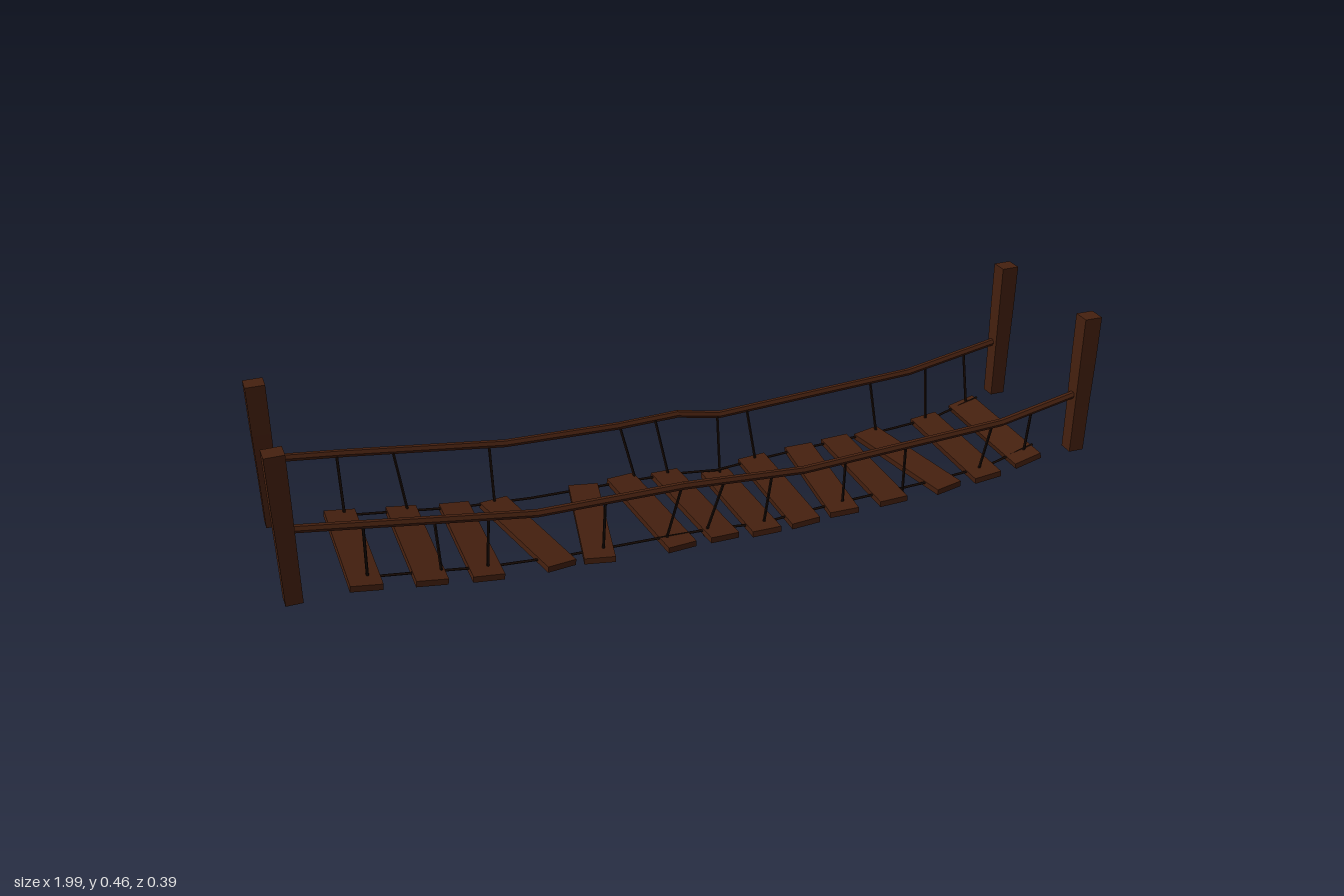
import * as THREE from 'three';

const wood = new THREE.MeshStandardMaterial({ color: 0x45200f, flatShading: true });
const cord = new THREE.MeshStandardMaterial({ color: 0x1c0e07, flatShading: true });
const UP = new THREE.Vector3(0, 1, 0);
const v = (x, y, z) => new THREE.Vector3(x, y, z);

// height along a polyline of [x, y, ...] points
function heightAt(line, x) {
  let i = 1;
  while (i < line.length - 1 && line[i][0] < x) i++;
  const [a, b] = [line[i - 1], line[i]];
  return a[1] + (b[1] - a[1]) * (x - a[0]) / (b[0] - a[0]);
}

// straight pole between two points
function pole(name, a, b, radius, sides, material) {
  const dir = b.clone().sub(a);
  const mesh = new THREE.Mesh(new THREE.CylinderGeometry(radius, radius, dir.length(), sides), material);
  mesh.position.copy(a).add(b).multiplyScalar(0.5);
  mesh.quaternion.setFromUnitVectors(UP, dir.normalize());
  mesh.name = name;
  return mesh;
}

// jointed run of poles through a list of points
function run(name, points, radius, sides, material) {
  const group = new THREE.Group();
  group.name = name;
  for (let i = 1; i < points.length; i++) {
    const d = points[i].clone().sub(points[i - 1]).setLength(radius * 0.15);
    group.add(pole(name + 'Section', points[i - 1].clone().sub(d), points[i].clone().add(d), radius, sides, material));
  }
  return group;
}

// square post, narrowing to the foot
function post(name, x, z, twist) {
  const geo = new THREE.BoxGeometry(0.045, 0.364, 0.042, 1, 3, 1);
  const p = geo.attributes.position;
  for (let i = 0; i < p.count; i++) {
    const t = (p.getY(i) + 0.182) / 0.364;
    const s = t < 0.5 ? 0.86 + 0.1 * t : 0.9 + 0.1 * t;
    p.setX(i, p.getX(i) * s);
    p.setZ(i, p.getZ(i) * s);
  }
  geo.computeVertexNormals();
  const mesh = new THREE.Mesh(geo, wood);
  mesh.position.set(x, 0.276, z);
  mesh.rotation.y = twist;
  mesh.name = name;
  return mesh;
}

export function createModel() {
  const model = new THREE.Group();
  model.name = 'ropeBridge';

  // corner posts
  model.add(post('frontRightPost', -0.977, 0.165, 0.02), post('frontLeftPost', 0.968, 0.173, -0.02),
    post('backRightPost', -0.971, -0.174, 0), post('backLeftPost', 0.946, -0.176, 0.02));

  // sagging line of the walkway
  const deck = [[-0.87, 0.1], [-0.68, 0.073], [-0.54, 0.054], [-0.36, 0.042], [-0.1, 0.038], [0.02, 0.034],
    [0.13, 0.022], [0.24, 0.03], [0.36, 0.037], [0.6, 0.045], [0.75, 0.056], [0.9, 0.094]];

  // planks: x, sideways skew across the width, tilt
  const planks = [[-0.82, 0, 0], [-0.676, 0, 0], [-0.548, 0, 0], [-0.414, 0.075, 0], [-0.254, -0.065, 0],
    [-0.104, 0.04, 0.035], [0.008, 0.03, 0], [0.131, 0, -0.058], [0.233, 0, 0], [0.35, -0.03, 0],
    [0.468, 0, 0], [0.59, 0.065, 0], [0.73, 0, 0], [0.842, 0, 0]];
  const deckGroup = new THREE.Group();
  deckGroup.name = 'planks';
  planks.forEach(([x, skew, tilt]) => {
    const mesh = new THREE.Mesh(new THREE.BoxGeometry(0.073, 0.015, 0.342), wood);
    const slope = (heightAt(deck, x + 0.03) - heightAt(deck, x - 0.03)) / 0.06;
    const low = tilt < 0;
    mesh.position.set(x, low ? 0.0175 : heightAt(deck, x), 0.002);
    mesh.rotation.set(tilt, skew / 0.34, low ? 0 : Math.atan(slope));
    mesh.name = 'plank';
    deckGroup.add(mesh);
  });
  model.add(deckGroup);

  // each side: handrail points, rope offset, hangers as [top x, bottom x]
  const sides = [
    {
      name: 'front', ropeZ: 0.127,
      rail: [[-0.965, 0.272, 0.166], [-0.43, 0.198, 0.17], [-0.08, 0.198, 0.172], [0.22, 0.179, 0.173],
        [0.75, 0.206, 0.173], [0.96, 0.25, 0.174]],
      hangers: [[-0.813, -0.81], [-0.66, -0.645], [-0.54, -0.54], [-0.27, -0.265], [-0.085, -0.11], [0.02, -0.01],
        [0.14, 0.14], [0.33, 0.35], [0.49, 0.515], [0.727, 0.727], [0.835, 0.855]],
    },
    {
      name: 'back', ropeZ: -0.153,
      rail: [[-0.965, 0.264, -0.173], [-0.78, 0.241, -0.178], [-0.41, 0.196, -0.174], [-0.12, 0.188, -0.176],
        [0.036, 0.188, -0.184], [0.146, 0.169, -0.178], [0.68, 0.197, -0.176], [0.94, 0.245, -0.177]],
      hangers: [[-0.81, -0.81], [-0.68, -0.66], [-0.45, -0.45], [-0.12, -0.085], [-0.027, 0.002], [0.14, 0.14],
        [0.22, 0.24], [0.567, 0.585], [0.727, 0.73], [0.84, 0.85]],
    },
  ];

  for (const { name, ropeZ, rail, hangers } of sides) {
    model.add(run(name + 'Handrail', rail.map((p) => v(...p)), 0.0095, 6, wood));

    // rope along the planks
    const ropePoints = deck.map(([x, y]) => v(THREE.MathUtils.clamp(x, -0.85, 0.88), Math.min(y, 0.095) + 0.002, ropeZ));
    model.add(run(name + 'DeckRope', ropePoints, 0.0032, 5, cord));

    // hangers with a knot below the planks
    const group = new THREE.Group();
    group.name = name + 'Hangers';
    const railZ = rail[2][2];
    hangers.forEach(([top, bottom]) => {
      const foot = v(bottom, Math.max(heightAt(deck, bottom) - 0.011, 0.012), ropeZ);
      group.add(pole('hanger', v(top, heightAt(rail, top), railZ), foot, 0.0035, 5, cord));
      const knot = new THREE.Mesh(new THREE.IcosahedronGeometry(0.0055, 0), cord);
      knot.position.copy(foot);
      knot.name = 'knot';
      group.add(knot);
    });
    model.add(group);
  }
  return model;
}
